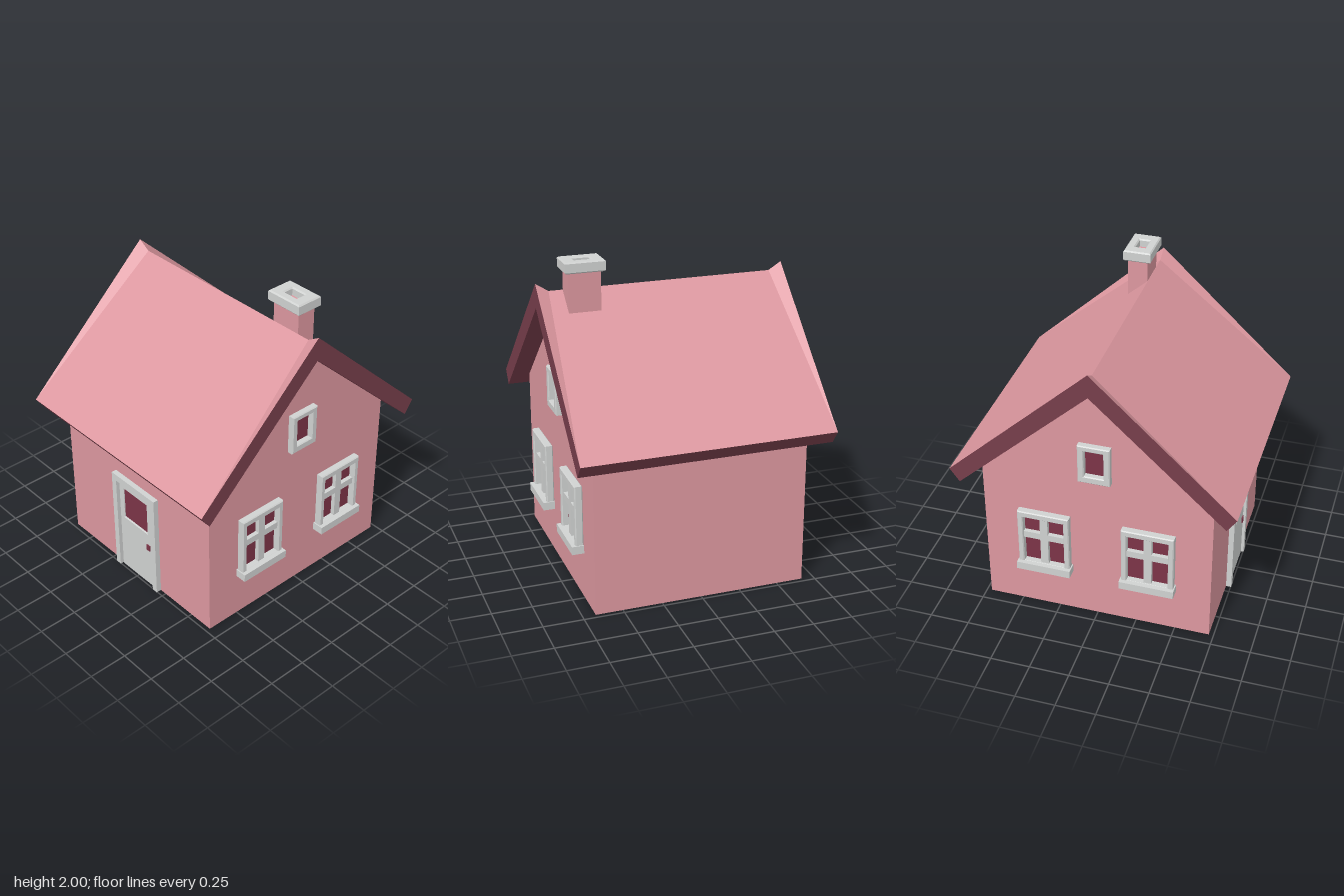
import * as THREE from 'three';

const material = (name, color, extra = {}) => {
  const m = new THREE.MeshStandardMaterial({ color, ...extra });
  m.name = name;
  return m;
};

export function createModel() {
  const pink = material('pink', 0xdc979f);
  const white = material('white', 0xd0d2d1);
  const maroon = material('maroon', 0x773e4b);
  const glass = material('glass', 0x7c3447);
  const house = new THREE.Group();
  house.name = 'house';

  const add = (parent, name, geometry, mat, x = 0, y = 0, z = 0) => {
    const mesh = new THREE.Mesh(geometry, mat);
    mesh.name = name;
    mesh.position.set(x, y, z);
    parent.add(mesh);
    return mesh;
  };
  const box = (parent, name, mat, w, h, d, x, y, z) =>
    add(parent, name, new THREE.BoxGeometry(w, h, d), mat, x, y, z);

  // Rectangle outline from left, bottom, right, top
  const rect = (C, l, b, r, t) => new C().moveTo(l, b).lineTo(r, b).lineTo(r, t).lineTo(l, t).closePath();
  // Plate with one rectangular hole and softened edges, rising from z = 0
  const plate = (outer, hole, depth, bevel = 0.006) => {
    const [l, b, r, t] = outer;
    const shape = rect(THREE.Shape, l + bevel, b + bevel, r - bevel, t - bevel);
    const [hl, hb, hr, ht] = hole;
    shape.holes.push(rect(THREE.Path, hl - bevel, hb - bevel, hr + bevel, ht + bevel));
    return new THREE.ExtrudeGeometry(shape, {
      depth: depth - 2 * bevel, bevelEnabled: true, bevelSize: bevel, bevelThickness: bevel, bevelSegments: 1,
    }).translate(0, 0, bevel);
  };

  // Walls with gables: one pentagon swept along x
  const gable = new THREE.Shape([[-0.72, 0], [0.72, 0], [0.72, 1.045], [0, 1.71], [-0.72, 1.045]]
    .map(([z, y]) => new THREE.Vector2(z, y)));
  const walls = new THREE.ExtrudeGeometry(gable, { depth: 1.34, bevelEnabled: false });
  walls.translate(0, 0, -0.67).rotateY(-Math.PI / 2);
  add(house, 'walls', walls, pink);

  // Surface from four-cornered faces
  const faces = (quads) => {
    const g = new THREE.BufferGeometry();
    const pos = quads.flatMap((q) => (q.length === 3 ? [...q] : [q[0], q[1], q[2], q[0], q[2], q[3]])).flat();
    g.setAttribute('position', new THREE.Float32BufferAttribute(pos, 3));
    g.computeVertexNormals();
    return g;
  };

  // Roof: ridge dips between the two raised end peaks
  const X = 0.79, IN = 0.71;
  const tops = [], trims = [];
  for (const s of [1, -1]) {
    const eave = (x) => [x * s, 1.03, 0.88 * s];
    const lip = (x) => [x * s, 0.945, 0.82 * s];
    const peak = (x) => [x * s, Math.abs(x) === X ? 1.85 : 1.8, 0];
    const under = (x) => [x * s, 1.7, 0];
    tops.push([eave(-X), eave(X), peak(IN), peak(-IN)]);
    tops.push([eave(X), peak(X), peak(IN)], [eave(-X), peak(-IN), peak(-X)]);
    trims.push([lip(-X), lip(X), eave(X), eave(-X)]);
    trims.push([lip(X), lip(-X), under(-X), under(X)]);
    trims.push([lip(X), under(X), peak(X), eave(X)]);
    trims.push([lip(-X), eave(-X), peak(-X), under(-X)]);
  }
  const roof = new THREE.Group();
  roof.name = 'roof';
  house.add(roof);
  add(roof, 'roofSlopes', faces(tops), pink);
  add(roof, 'roofTrim', faces(trims), maroon);

  // Chimney with a hollow cap
  const chimney = new THREE.Group();
  chimney.name = 'chimney';
  chimney.position.set(0.523, 0, -0.066);
  house.add(chimney);
  box(chimney, 'chimneyStack', pink, 0.2, 0.35, 0.125, 0, 1.775, 0);
  const cap = plate([-0.125, -0.087, 0.125, 0.087], [-0.05, -0.032, 0.05, 0.032], 0.07, 0.008);
  add(chimney, 'chimneyCap', cap.rotateX(-Math.PI / 2), white, 0, 1.93, 0);

  // Cross-barred window with sill, facing +z from its wall
  const crossWindow = (parent, x) => {
    const w = new THREE.Group();
    w.name = 'crossWindow';
    w.position.x = x;
    parent.add(w);
    add(w, 'windowFrame', plate([-0.165, 0.31, 0.165, 0.738], [-0.13, 0.355, 0.13, 0.695], 0.05), white);
    box(w, 'windowGlass', glass, 0.27, 0.36, 0.008, 0, 0.525, 0.004);
    box(w, 'windowMullion', white, 0.05, 0.36, 0.036, 0, 0.525, 0.018);
    box(w, 'windowTransom', white, 0.28, 0.045, 0.036, 0, 0.557, 0.018);
    box(w, 'windowSill', white, 0.345, 0.052, 0.075, 0, 0.328, 0.0375);
  };

  // Matching windows on both gable ends
  for (const side of [1, -1]) {
    const wall = new THREE.Group();
    wall.name = side > 0 ? 'leftGableWindows' : 'rightGableWindows';
    wall.position.x = 0.67 * side;
    wall.rotation.y = (Math.PI / 2) * side;
    house.add(wall);
    for (const x of [-0.33, 0.33]) crossWindow(wall, x);
    add(wall, 'atticFrame', plate([-0.1, 1.043, 0.1, 1.305], [-0.06, 1.09, 0.06, 1.268], 0.045), white);
    box(wall, 'atticGlass', glass, 0.13, 0.19, 0.008, 0, 1.179, 0.004);
  }

  // Front door with its surround, pane and handle
  const door = new THREE.Group();
  door.name = 'door';
  door.position.z = 0.72;
  house.add(door);
  for (const s of [1, -1]) box(door, 'doorJamb', white, 0.04, 0.728, 0.034, 0.183 * s, 0.364, 0.017);
  box(door, 'doorLintel', white, 0.33, 0.045, 0.034, 0, 0.7055, 0.017);
  add(door, 'doorLeaf', plate([-0.155, 0.004, 0.155, 0.675], [-0.115, 0.415, 0.11, 0.64], 0.018, 0.004), white);
  box(door, 'doorGlass', glass, 0.235, 0.235, 0.008, -0.0025, 0.5275, 0.004);
  box(door, 'doorHandle', glass, 0.03, 0.04, 0.012, 0.12, 0.31, 0.02);

  return house;
}
